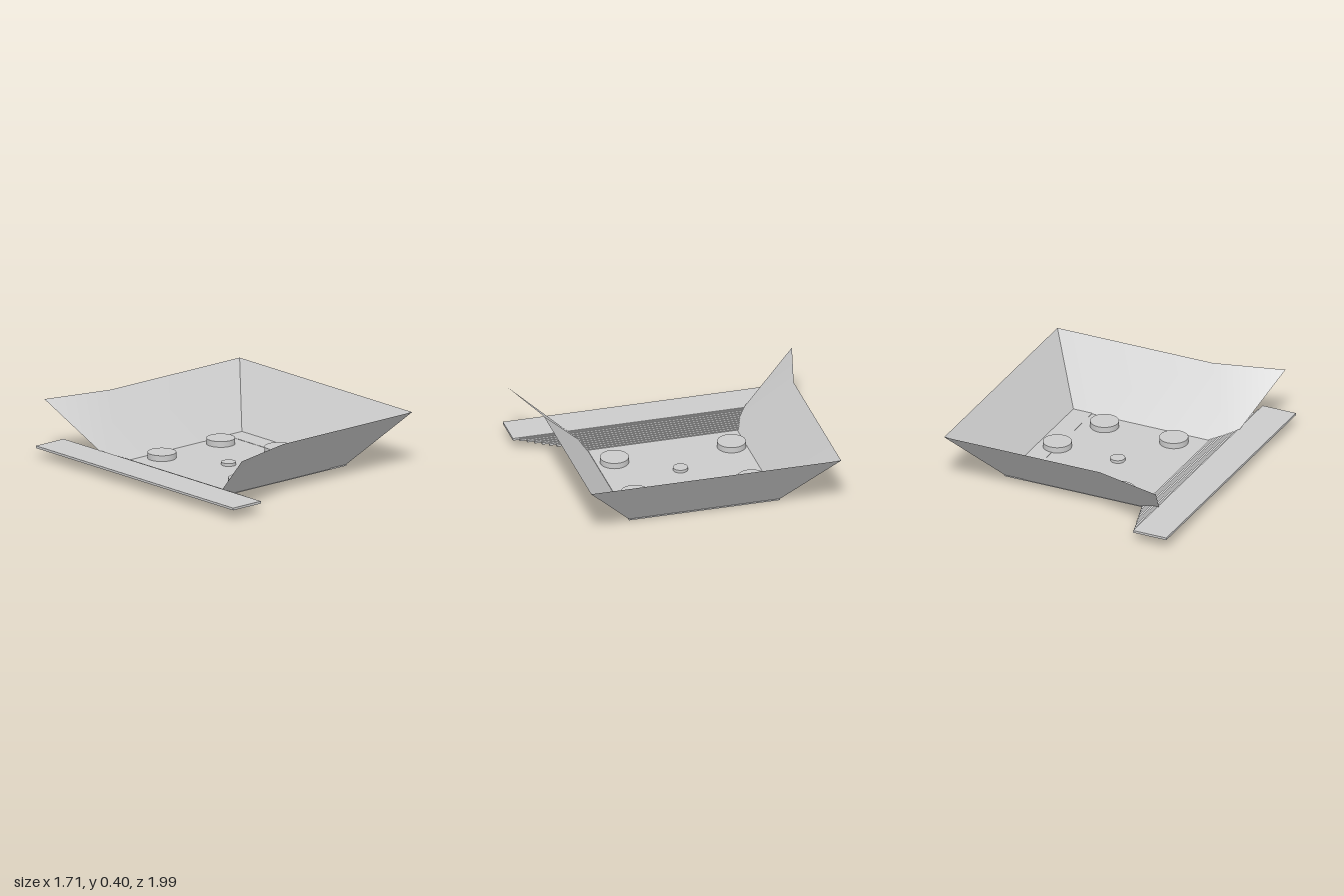
import * as THREE from 'three';

const grey = new THREE.MeshStandardMaterial({ color: 0xcccccc, side: THREE.DoubleSide });

function add(group, name, geometry, x = 0, y = 0, z = 0) {
  const mesh = new THREE.Mesh(geometry, grey);
  mesh.name = name;
  mesh.position.set(x, y, z);
  group.add(mesh);
}

// Box given by its limits, symmetric about z = 0
function slab(group, name, x0, x1, y0, y1, halfZ) {
  add(group, name, new THREE.BoxGeometry(x1 - x0, y1 - y0, 2 * halfZ),
    (x0 + x1) / 2, (y0 + y1) / 2, 0);
}

// Thin sheet from corner points and triangle indices
function sheet(points, index) {
  const g = new THREE.BufferGeometry();
  g.setAttribute('position', new THREE.Float32BufferAttribute(points.flat(), 3));
  g.setIndex(index);
  g.computeVertexNormals();
  return g;
}

export function createModel() {
  const model = new THREE.Group();
  model.name = 'arena';

  // Floor and the strip along its far end
  slab(model, 'floor', -0.58, 0.565, 0, 0.01, 0.52);
  slab(model, 'floorStrip', 0.43, 0.573, 0.003, 0.012, 0.526);

  // Flared side walls, mirrored across z
  for (const s of [1, -1]) {
    const index = [0, 1, 3, 1, 2, 3, 0, 3, 4];
    if (s < 0) index.reverse();
    add(model, s > 0 ? 'frontWall' : 'backWall', sheet([
      [-0.58, 0.005, 0.52 * s], [0.565, 0.005, 0.52 * s],
      [0.855, 0.396, 0.87 * s], [-0.3, 0.396, 0.87 * s], [-0.78, 0.396, 0.995 * s],
    ], index));
  }

  // End wall
  add(model, 'endWall', sheet([
    [0.565, 0.005, 0.52], [0.565, 0.005, -0.52], [0.855, 0.396, -0.87], [0.855, 0.396, 0.87],
  ], [0, 1, 2, 0, 2, 3]));

  // Entrance platform and the steps narrowing down to the floor
  slab(model, 'platform', -0.857, -0.61, 0.07, 0.086, 0.995);
  const count = 10;
  for (let i = 0; i < count; i++) {
    const x = -0.615 + i * 0.0165;
    const top = 0.079 - i * 0.0068;
    slab(model, 'step', x, x + 0.018, top - 0.014, top, 0.95 - 0.42 * i / (count - 1));
  }

  // Round pads on the floor: x, z, radius, top height
  for (const [x, z, r, h] of [
    [-0.24, -0.42, 0.097, 0.05], [0.28, -0.412, 0.097, 0.05],
    [-0.24, 0.395, 0.097, 0.05], [0.277, 0.4, 0.097, 0.05],
    [0.435, 0, 0.097, 0.05], [-0.015, 0, 0.05, 0.03],
  ]) {
    add(model, 'pad', new THREE.CylinderGeometry(r, r, h - 0.005, 48), x, (h + 0.005) / 2, z);
  }

  return model;
}
